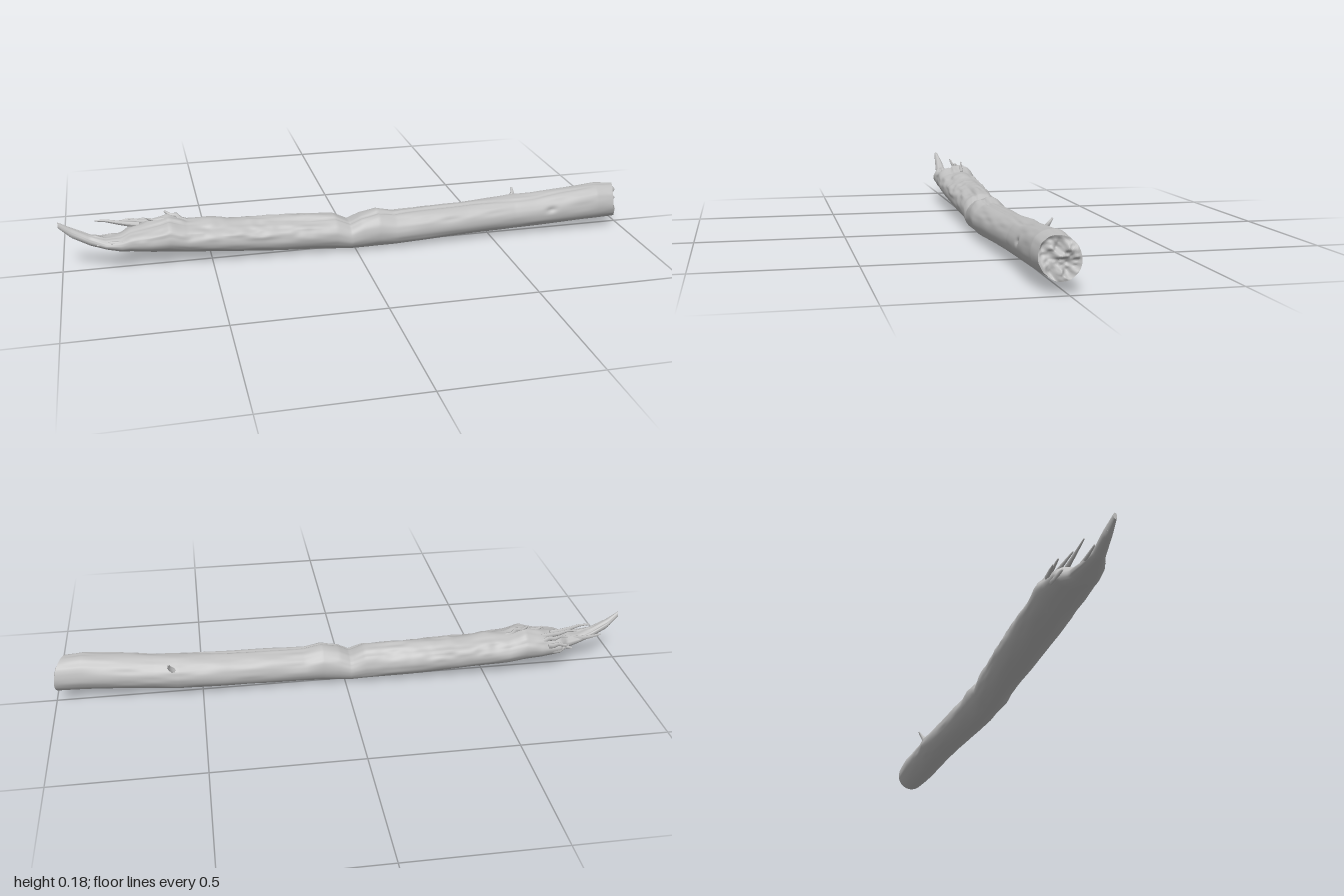
import * as THREE from 'three';

// Stations along the log: x, bottom y, top y, back z, front z
const STATIONS = [
  [-1.0, 0.170, 0.190, 0.002, 0.014], [-0.96, 0.130, 0.165, -0.010, 0.018],
  [-0.90, 0.097, 0.135, -0.016, 0.025], [-0.85, 0.083, 0.123, -0.030, 0.045],
  [-0.80, 0.070, 0.128, -0.045, 0.052], [-0.77, 0.066, 0.140, -0.078, 0.055],
  [-0.70, 0.056, 0.155, -0.088, 0.061], [-0.64, 0.050, 0.172, -0.088, 0.065],
  [-0.58, 0.044, 0.152, -0.086, 0.067], [-0.40, 0.030, 0.143, -0.080, 0.067],
  [-0.20, 0.016, 0.138, -0.068, 0.067], [-0.07, 0.010, 0.132, -0.060, 0.072],
  [-0.02, 0.008, 0.108, -0.056, 0.077], [0.02, 0.008, 0.128, -0.053, 0.079],
  [0.08, 0.010, 0.141, -0.051, 0.080], [0.14, 0.012, 0.128, -0.050, 0.082],
  [0.40, 0.020, 0.134, -0.054, 0.075], [0.58, 0.025, 0.145, -0.060, 0.069],
  [0.66, 0.030, 0.148, -0.052, 0.073], [0.80, 0.036, 0.160, -0.045, 0.078],
  [0.90, 0.040, 0.169, -0.040, 0.080], [0.975, 0.043, 0.163, -0.036, 0.076],
];
const SIDES = 72, ROWS = 320, END = 0.975;
const smooth = THREE.MathUtils.smoothstep;

function section(x) {
  let k = 0;
  while (k < STATIONS.length - 2 && x > STATIONS[k + 1][0]) k++;
  const a = STATIONS[k], b = STATIONS[k + 1];
  const t = (x - a[0]) / (b[0] - a[0]);
  return a.map((v, i) => v + (b[i] - v) * t);
}

// Seeded value noise in -1..1 that wraps around in v
function hash(i, j) {
  const s = Math.sin(i * 127.1 + j * 311.7) * 43758.5453;
  return (s - Math.floor(s)) * 2 - 1;
}
function noise(u, v, period) {
  const i = Math.floor(u), j = Math.floor(v);
  const s = smooth(u - i, 0, 1), t = smooth(v - j, 0, 1);
  const h = (a, b) => hash(a, ((b % period) + period) % period);
  const lo = h(i, j) + (h(i + 1, j) - h(i, j)) * s;
  const hi = h(i, j + 1) + (h(i + 1, j + 1) - h(i, j + 1)) * s;
  return lo + (hi - lo) * t;
}

// Surface point at station x and turn v (0 = front, 0.25 = top)
function barkPoint(x, v) {
  const [, y0, y1, z0, z1] = section(x);
  const a = v * Math.PI * 2;
  const upper = smooth(Math.sin(a), -0.2, 0.7);
  const worn = 1 - smooth(x, -0.3, 0.05);
  // Long grain, rougher on the weathered top
  let r = 1 + 0.025 * noise(x * 7, v * 8, 8)
    + (0.012 + upper * (0.02 + 0.035 * worn)) * noise(x * 12 + 40, v * 28, 28)
    + upper * worn * 0.05 * noise(x * 30 + 90, v * 18, 18);
  // Bark torn away on the upper front of the broken half
  const torn = smooth(x, -0.85, -0.7) * (1 - smooth(x, -0.12, -0.02));
  r -= 0.1 * torn * Math.exp(-(((v - 0.16 - 0.015 * noise(x * 14, 1, 9)) / 0.05) ** 2));
  // Wandering split along the top
  const split = 0.2 + 0.03 * noise(x * 5 + 11, 3, 9);
  r -= 0.09 * smooth(noise(x * 4 + 60, 5, 9), -0.5, 0.2) * Math.exp(-(((v - split) / 0.012) ** 2));
  // Knot on the front near the sawn end
  r -= 0.12 * Math.exp(-(((x - 0.715) / 0.018) ** 2) - (((v - 0.03) / 0.025) ** 2));
  return new THREE.Vector3(x,
    (y0 + y1) / 2 + r * Math.sin(a) * (y1 - y0) / 2,
    (z0 + z1) / 2 + r * Math.cos(a) * (z1 - z0) / 2);
}

// Slants the butt end: the back and bottom reach further out
function slant(p, x) {
  const push = -0.38 * (p.z - 0.022) - 0.14 * (p.y - 0.1);
  p.x = Math.min(1, p.x + push * smooth(x, 0.85, END));
  return p;
}

// Skin over rows of closed rings
function skin(rows, pointAt) {
  const pos = [], index = [];
  for (let i = 0; i <= rows; i++)
    for (let j = 0; j < SIDES; j++) pos.push(...pointAt(i / rows, j / SIDES).toArray());
  for (let i = 0; i < rows; i++)
    for (let j = 0; j < SIDES; j++) {
      const k = (j + 1) % SIDES, a = i * SIDES, b = a + SIDES;
      index.push(a + j, b + j, b + k, a + j, b + k, a + k);
    }
  const g = new THREE.BufferGeometry();
  g.setAttribute('position', new THREE.Float32BufferAttribute(pos, 3));
  g.setIndex(index);
  g.computeVertexNormals();
  return g;
}

// Tapered, slightly flattened shard from base to tip
function shard(base, tip, radius, flat = 0.6) {
  const from = new THREE.Vector3(...base), to = new THREE.Vector3(...tip);
  const dir = to.clone().sub(from);
  const g = new THREE.CylinderGeometry(radius * 0.25, radius, dir.length(), 7, 4);
  const p = g.attributes.position;
  for (let i = 0; i < p.count; i++) {
    const bend = radius * 0.5 * noise(p.getY(i) * 40 + radius * 999, 2, 9);
    p.setXYZ(i, p.getX(i) + bend, p.getY(i), p.getZ(i) * flat + bend * 0.5);
  }
  g.applyQuaternion(new THREE.Quaternion().setFromUnitVectors(new THREE.Vector3(0, 1, 0), dir.normalize()));
  g.translate((base[0] + tip[0]) / 2, (base[1] + tip[1]) / 2, (base[2] + tip[2]) / 2);
  g.computeVertexNormals();
  return g;
}

export function createModel() {
  const group = new THREE.Group();
  const wood = new THREE.MeshStandardMaterial({ color: 0xbfbfbf });
  wood.name = 'weathered wood';
  const add = (name, geometry) => {
    const mesh = new THREE.Mesh(geometry, wood);
    mesh.name = name;
    group.add(mesh);
  };

  // Bent trunk
  add('trunk', skin(ROWS, (t, v) => {
    const x = -1 + t * (END + 1);
    return slant(barkPoint(x, v), x);
  }));

  // Rough butt end, rings shrinking to the middle
  const [, y0, y1, z0, z1] = section(END);
  const centre = new THREE.Vector3(END, (y0 + y1) / 2, (z0 + z1) / 2);
  add('buttEnd', skin(14, (t, v) => {
    const p = barkPoint(END, v).lerp(centre, t);
    const rough = smooth(t, 0, 0.15);
    p.x += rough * (0.012 * noise(p.y * 45, p.z * 45 + 20, 99) + 0.005 * noise(p.y * 110, p.z * 110 + 40, 99) - 0.004);
    return slant(p, END);
  }));

  // Closed tip of the broken end
  const tip = new THREE.Vector3(-1, 0.18, 0.008);
  add('brokenTip', skin(2, (t, v) => tip.clone().lerp(barkPoint(-1, v), t)));

  // Splinters at the broken end: base, tip, radius
  const splinters = [
    [[-0.74, 0.140, -0.030], [-0.88, 0.175, -0.028], 0.012],
    [[-0.70, 0.140, -0.050], [-0.83, 0.158, -0.040], 0.012],
    [[-0.72, 0.118, -0.078], [-0.79, 0.128, -0.087], 0.013],
    [[-0.72, 0.100, -0.072], [-0.81, 0.105, -0.065], 0.015],
    [[-0.70, 0.135, -0.066], [-0.79, 0.150, -0.070], 0.012],
    [[-0.58, 0.145, -0.020], [-0.65, 0.184, -0.034], 0.016],
    [[-0.64, 0.150, -0.020], [-0.71, 0.170, -0.015], 0.014],
    [[-0.80, 0.105, -0.020], [-0.93, 0.125, -0.022], 0.014],
    [[-0.78, 0.105, 0.040], [-0.88, 0.112, 0.036], 0.013],
    [[-0.86, 0.110, 0.010], [-0.97, 0.150, -0.004], 0.014],
  ];
  for (const [base, end, radius] of splinters) add('splinter', shard(base, end, radius));

  // Broken twig stub on the back
  add('twigStub', shard([0.60, 0.115, -0.042], [0.61, 0.150, -0.064], 0.011, 0.9));

  return group;
}
